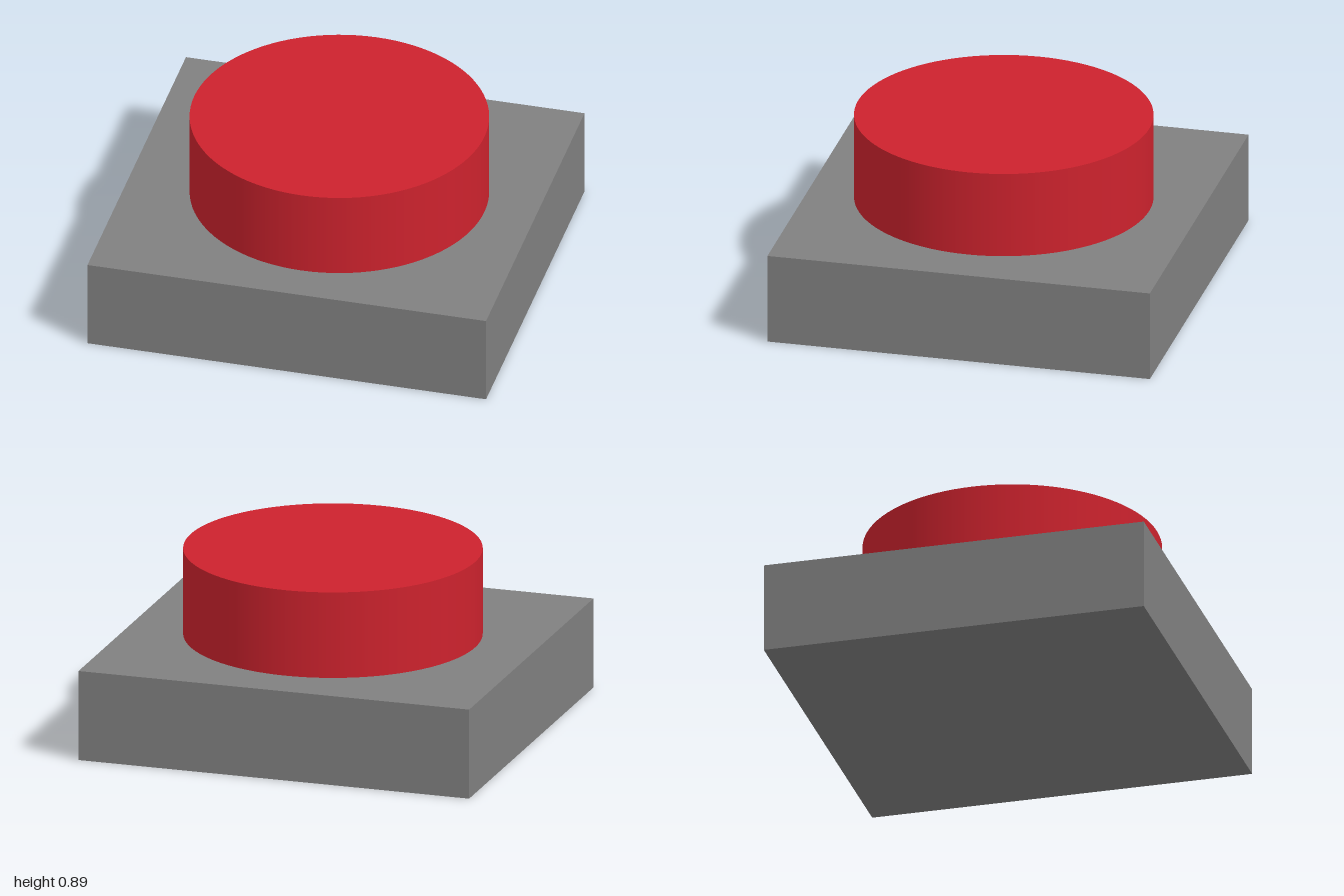
import * as THREE from 'three';

export function createModel() {
  const group = new THREE.Group();
  const grey = new THREE.MeshStandardMaterial({ color: 0x808080 });
  grey.name = 'base grey';
  const red = new THREE.MeshStandardMaterial({ color: 0xcc222d });
  red.name = 'button red';

  // Rectangular housing
  const width = 2, depth = 1.914, baseHeight = 0.453;
  const base = new THREE.Mesh(new THREE.BoxGeometry(width, baseHeight, depth), grey);
  base.name = 'base';
  base.position.y = baseHeight / 2;

  // Round push button, slightly off centre, its shaft sunk through the housing
  const radius = 0.728, bottom = 0.01, top = 0.888;
  const button = new THREE.Mesh(new THREE.CylinderGeometry(radius, radius, top - bottom, 96), red);
  button.name = 'button';
  button.position.set(0.021, (top + bottom) / 2, 0.016);

  group.add(base, button);
  return group;
}
